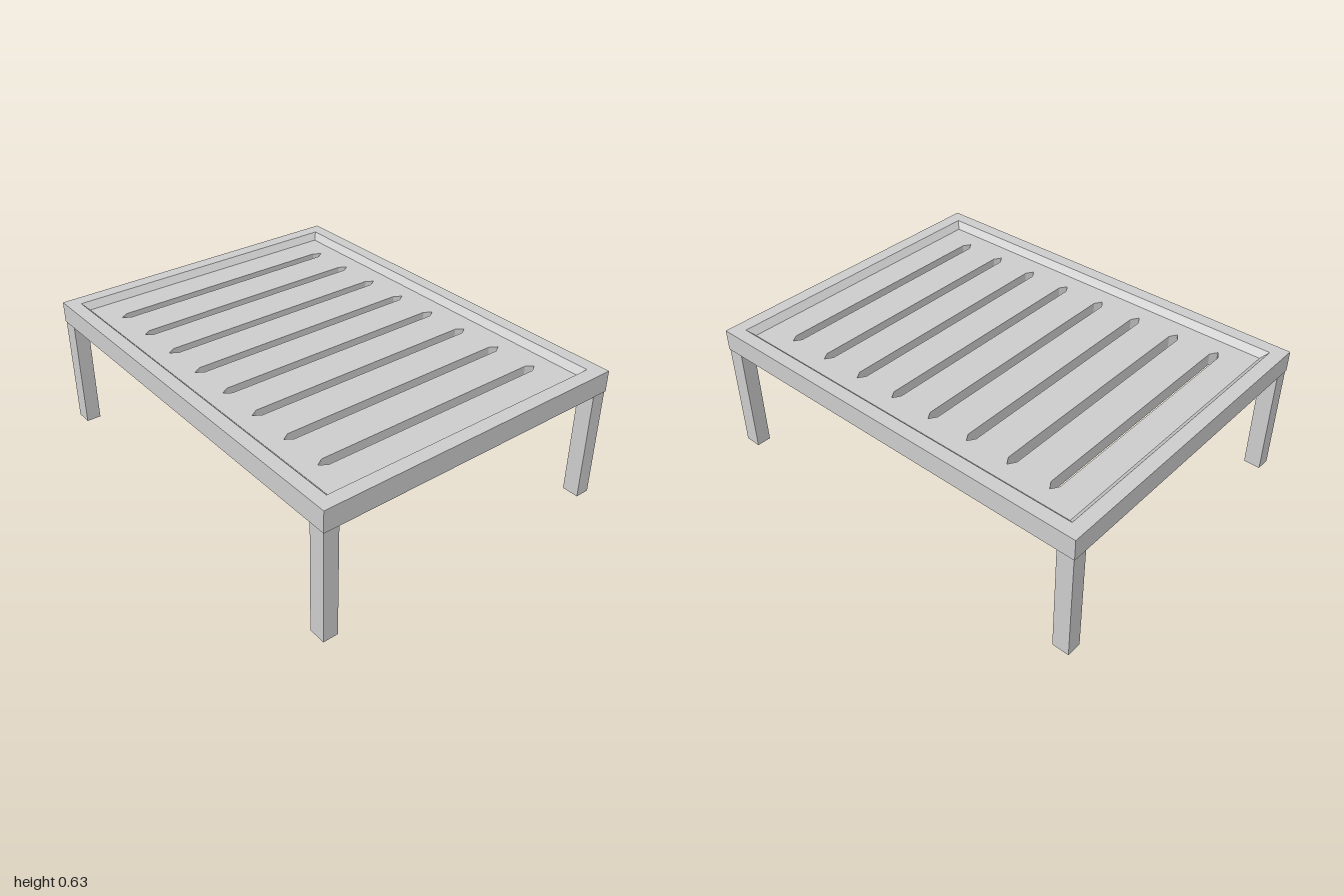
import * as THREE from 'three';

const material = new THREE.MeshStandardMaterial({ color: 0xcccccc, side: THREE.DoubleSide });

// Rectangle outline in (x, z), given half sizes and a centre
const rect = (hx, hz, cx = 0, cz = 0) =>
  [[cx + hx, cz + hz], [cx + hx, cz - hz], [cx - hx, cz - hz], [cx - hx, cz + hz]];

// Pointed slot outline around x = cx, in the same winding as rect
const slotOutline = (cx) => {
  const w = 0.022, shoulder = 0.555, tip = 0.59;
  return [[cx, tip], [cx + w, shoulder], [cx + w, -shoulder],
    [cx, -tip], [cx - w, -shoulder], [cx - w, shoulder]];
};

// Skin a list of { loop, y } rings with flat quads
function loft(name, rings) {
  const pos = [];
  for (let r = 0; r < rings.length - 1; r++) {
    const at = (ring, i) => {
      const [x, z] = ring.loop[i % ring.loop.length];
      return [x, ring.y, z];
    };
    const a = rings[r], b = rings[r + 1];
    for (let i = 0; i < a.loop.length; i++) {
      pos.push(...at(a, i), ...at(b, i), ...at(a, i + 1));
      pos.push(...at(a, i + 1), ...at(b, i), ...at(b, i + 1));
    }
  }
  const geo = new THREE.BufferGeometry();
  geo.setAttribute('position', new THREE.Float32BufferAttribute(pos, 3));
  geo.computeVertexNormals();
  const mesh = new THREE.Mesh(geo, material);
  mesh.name = name;
  return mesh;
}

export function createModel() {
  const group = new THREE.Group();
  group.name = 'slattedTable';
  const top = 0.63, bottom = 0.53, sheetY = 0.6;

  // Rim: sloped inner lip, top, outer wall, underside, inner wall
  const outer = rect(1, 0.763), inner = rect(0.935, 0.7), sheetEdge = rect(0.905, 0.672);
  group.add(loft('frame', [
    { loop: sheetEdge, y: sheetY },
    { loop: inner, y: top },
    { loop: outer, y: top },
    { loop: outer, y: bottom },
    { loop: inner, y: bottom },
    { loop: inner, y: top },
  ]));

  // Thin recessed sheet with slots, each with walls hanging below
  const toVectors = (loop) => loop.map(([x, z]) => new THREE.Vector2(x, -z));
  const sheet = new THREE.Shape(toVectors(sheetEdge));
  for (let i = 0; i < 8; i++) {
    const slot = slotOutline((i - 3.5) * 0.2125);
    sheet.holes.push(new THREE.Path(toVectors(slot)));
    group.add(loft('slotWall', [{ loop: slot, y: sheetY }, { loop: slot, y: 0.54 }]));
  }
  const panel = new THREE.Mesh(new THREE.ShapeGeometry(sheet).rotateX(-Math.PI / 2), material);
  panel.name = 'slottedPanel';
  panel.position.y = sheetY;
  group.add(panel);

  // Hollow legs, open at the bottom
  for (const sx of [-1, 1]) {
    for (const sz of [-1, 1]) {
      const loop = rect(0.04, 0.035, sx * 0.956, sz * 0.725);
      group.add(loft('leg', [{ loop, y: bottom }, { loop, y: 0 }]));
    }
  }
  return group;
}
